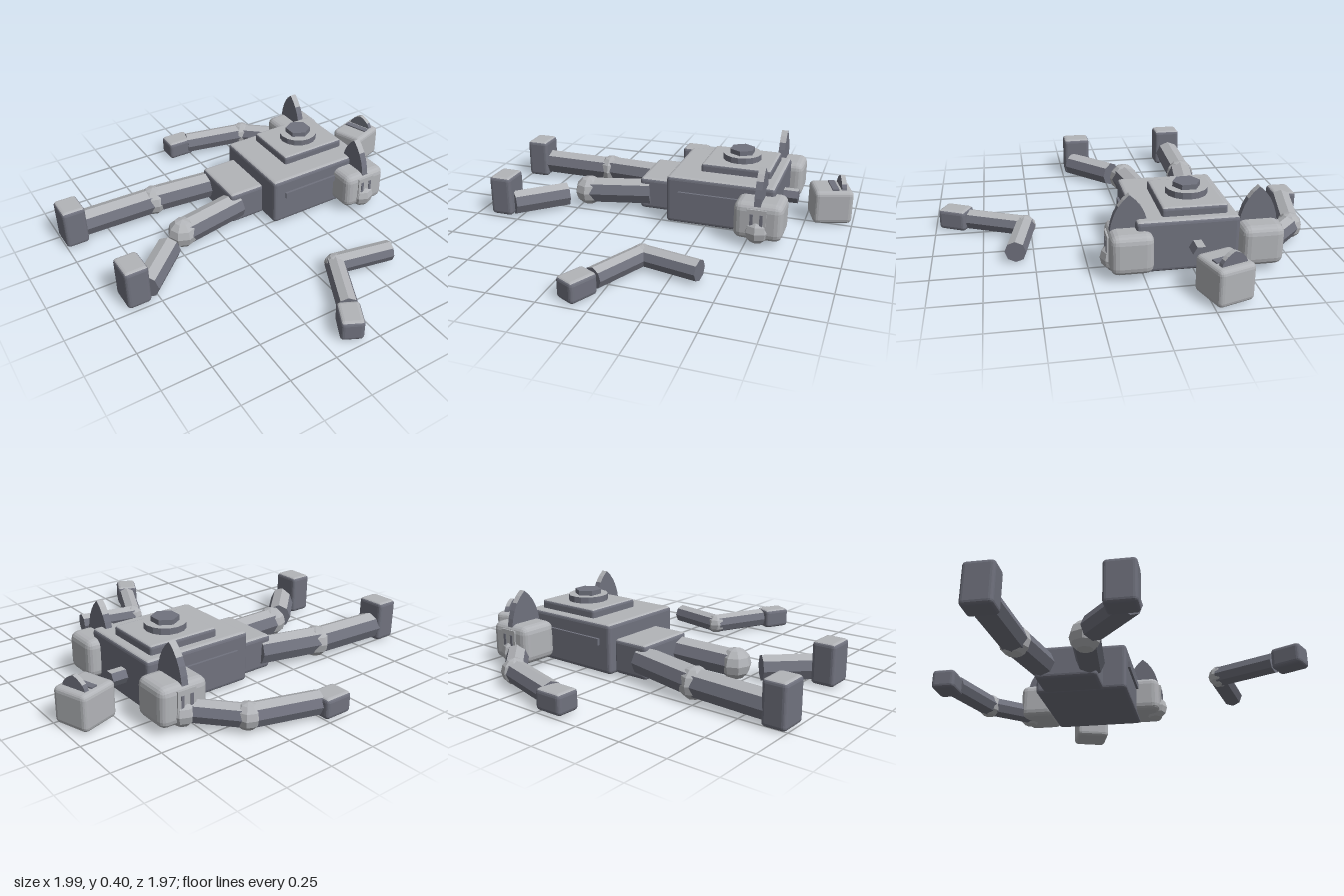
import * as THREE from 'three';
import { RoundedBoxGeometry } from 'three/addons/geometries/RoundedBoxGeometry.js';

const paint = (name, color) => {
  const m = new THREE.MeshStandardMaterial({ color });
  m.name = name;
  return m;
};
const steel = paint('dark steel', 0x70727e);
const pale = paint('pale grey', 0xb2b4b8);

// Flat facets; facets that face upwards take the pale colour
function twoTone(geometry) {
  const g = geometry.index ? geometry.toNonIndexed() : geometry;
  g.computeVertexNormals();
  g.clearGroups();
  const n = g.attributes.normal;
  for (let i = 0; i < n.count; i += 3) g.addGroup(i, 3, n.getY(i) > 0.6 ? 1 : 0);
  return g;
}

function flat(geometry) {
  const g = geometry.index ? geometry.toNonIndexed() : geometry;
  g.computeVertexNormals();
  g.clearGroups();
  return g;
}

export function createModel() {
  const model = new THREE.Group();
  model.name = 'brokenRobot';

  const add = (name, geometry, material, x = 0, y = 0, z = 0, turn = 0, parent = model) => {
    const g = material ? flat(geometry) : twoTone(geometry);
    const mesh = new THREE.Mesh(g, material || [steel, pale]);
    mesh.name = name;
    mesh.position.set(x, y, z);
    mesh.rotation.y = turn;
    parent.add(mesh);
    return mesh;
  };
  const block = (w, h, d, r = 0.02) => new RoundedBoxGeometry(w, h, d, 2, r);
  const ball = (name, r, x, y, z) => add(name, new THREE.SphereGeometry(r, 8, 6), pale, x, y, z);

  // Octagonal rod with an edge on top, from point a to point b
  const limb = (name, a, b, r) => {
    const from = new THREE.Vector3(...a), to = new THREE.Vector3(...b);
    const rod = new THREE.CylinderGeometry(r, r, from.distanceTo(to), 8).rotateX(Math.PI / 2);
    const mesh = add(name, rod, null);
    mesh.position.copy(from).add(to).multiplyScalar(0.5);
    mesh.lookAt(to);
  };

  // Pointed arch blade standing along z
  const fin = (width, height, thick) => {
    const s = new THREE.Shape();
    s.moveTo(-width / 2, 0);
    s.lineTo(width / 2, 0);
    s.quadraticCurveTo(width * 0.42, height * 0.68, 0, height);
    s.quadraticCurveTo(-width * 0.42, height * 0.68, -width / 2, 0);
    return new THREE.ExtrudeGeometry(s, { depth: thick, bevelEnabled: false, curveSegments: 5 })
      .translate(0, 0, -thick / 2).rotateY(-Math.PI / 2);
  };

  // Trunk
  const midZ = -0.215;
  add('torso', block(0.585, 0.262, 0.5), null, 0.333, 0.15, midZ);
  add('pelvis', block(0.21, 0.18, 0.33), null, -0.05, 0.11, -0.255);
  add('chestPlate', block(0.38, 0.07, 0.32, 0.015), null, 0.385, 0.29, -0.255);
  add('chestRing', new THREE.CylinderGeometry(0.105, 0.105, 0.035, 16), null, 0.385, 0.34, -0.255);
  add('chestCore', new THREE.CylinderGeometry(0.07, 0.07, 0.03, 6), steel, 0.385, 0.368, -0.255);
  for (const side of [-1, 1]) {
    add('sideRail', new THREE.BoxGeometry(0.44, 0.035, 0.03), steel, 0.33, 0.185, midZ + side * 0.248);
  }
  add('neck', new THREE.CylinderGeometry(0.04, 0.04, 0.1, 6).rotateZ(Math.PI / 2), null, 0.655, 0.14, -0.255);

  // Severed head with its visor and crest
  const head = new THREE.Group();
  head.name = 'head';
  head.position.set(0.87, 0, -0.32);
  head.rotation.y = 0.32;
  model.add(head);
  add('skull', block(0.21, 0.185, 0.195, 0.025), pale, 0, 0.105, 0, 0, head);
  add('visor', new THREE.BoxGeometry(0.035, 0.009, 0.14), steel, 0.01, 0.2, 0, 0, head);
  add('crest', fin(0.14, 0.068, 0.025), null, 0.055, 0.193, 0, 0, head);

  // Shoulders with blades and outer vents
  for (const [z, side] of [[-0.565, -1], [0.062, 1]]) {
    add('shoulder', block(0.255, 0.2, 0.208, 0.04), pale, 0.563, 0.14, z);
    add('shoulderBlade', fin(0.19, 0.185, 0.035), null, 0.56, 0.22, z);
    add('shoulderGroove', new THREE.BoxGeometry(0.035, 0.008, 0.13), steel, 0.56, 0.24, z);
    add('shoulderVent', new THREE.BoxGeometry(0.1, 0.14, 0.009), pale, 0.56, 0.145, z + side * 0.106);
    for (const x of [0.535, 0.585]) {
      add('ventSlot', new THREE.BoxGeometry(0.016, 0.1, 0.009), steel, x, 0.14, z + side * 0.109);
    }
    ball('shoulderJoint', 0.07, 0.56, 0.09, z + side * 0.07);
  }

  // Attached right arm
  limb('rightUpperArm', [0.55, 0.09, -0.62], [0.34, 0.08, -0.825], 0.058);
  ball('rightElbow', 0.067, 0.34, 0.08, -0.825);
  limb('rightForearm', [0.34, 0.08, -0.825], [-0.01, 0.072, -0.912], 0.06);
  add('rightHand', block(0.155, 0.105, 0.125), null, -0.065, 0.065, -0.93);

  // Severed left arm
  limb('leftUpperArm', [0.085, 0.065, 0.53], [0.39, 0.065, 0.592], 0.054);
  ball('leftElbow', 0.056, 0.085, 0.065, 0.53);
  limb('leftForearm', [0.085, 0.065, 0.53], [-0.05, 0.065, 0.815], 0.054);
  add('leftHand', block(0.115, 0.11, 0.155), null, -0.095, 0.062, 0.89, -0.47);

  // Attached right leg
  limb('rightThigh', [-0.1, 0.11, -0.378], [-0.46, 0.095, -0.435], 0.074);
  ball('rightKnee', 0.082, -0.465, 0.09, -0.435);
  limb('rightShin', [-0.46, 0.09, -0.435], [-0.89, 0.085, -0.452], 0.073);
  add('rightFoot', block(0.125, 0.22, 0.155), null, -0.9375, 0.12, -0.447);

  // Left thigh ends at the knee, with the severed shin and foot nearby
  limb('leftThigh', [-0.1, 0.11, -0.13], [-0.46, 0.09, -0.085], 0.074);
  ball('leftKnee', 0.082, -0.46, 0.09, -0.085);
  limb('leftShin', [-0.575, 0.073, -0.025], [-0.8, 0.073, 0.185], 0.068);
  add('leftFoot', block(0.125, 0.22, 0.155), null, -0.855, 0.12, 0.157);

  return model;
}
